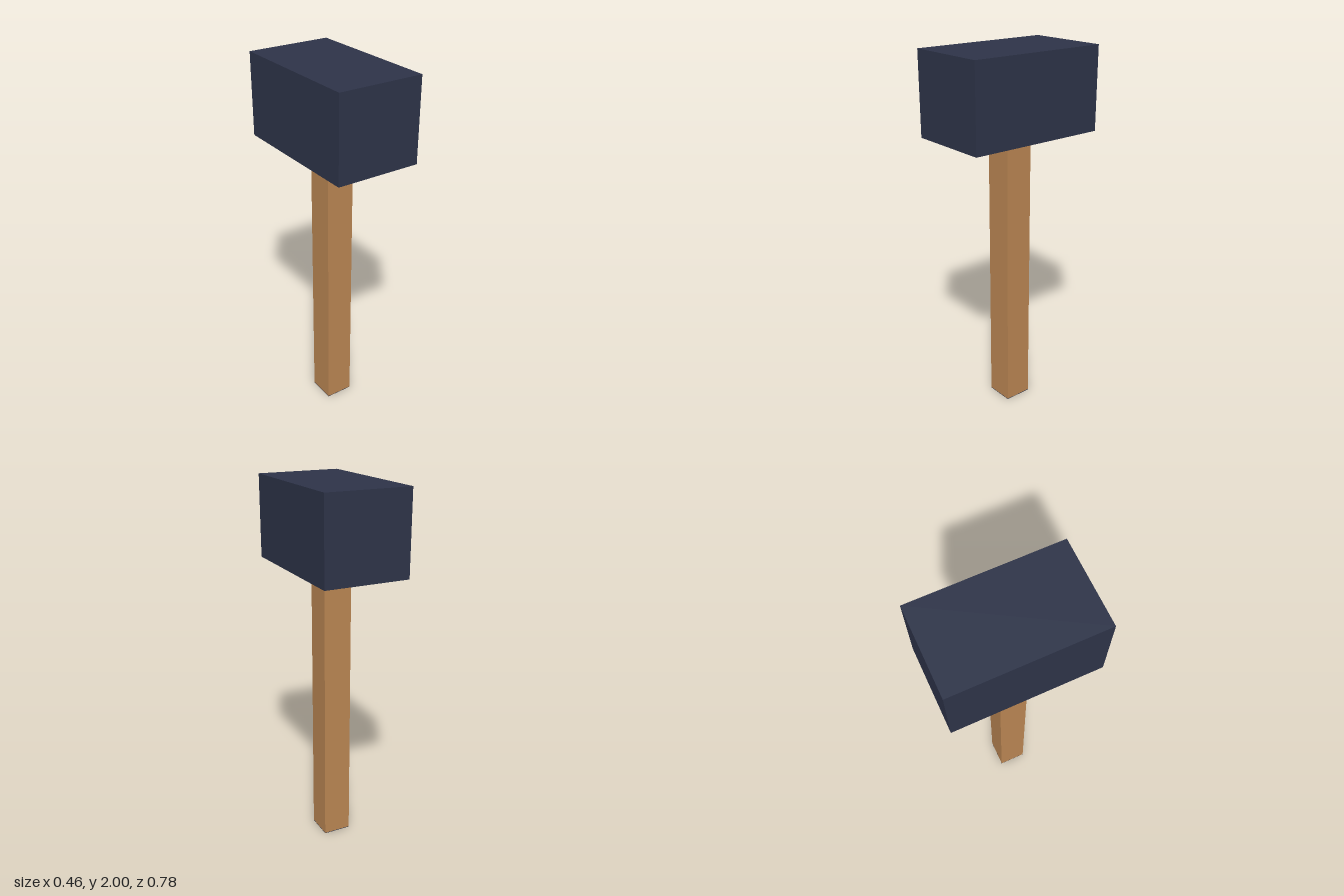
import * as THREE from 'three';

const HEAD_BOTTOM = 1.555;
const CAP = 0.003;

export function createModel() {
  const group = new THREE.Group();
  const wood = new THREE.MeshStandardMaterial({ color: 0xb98552, flatShading: true });
  const iron = new THREE.MeshStandardMaterial({ color: 0x2d3348, flatShading: true });

  // Box given by its footprint and its lower and upper height
  const block = (name, width, depth, y0, y1, material) => {
    const mesh = new THREE.Mesh(new THREE.BoxGeometry(width, y1 - y0, depth), material);
    mesh.name = name;
    mesh.position.y = (y0 + y1) / 2;
    group.add(mesh);
  };

  block('head', 0.462, 0.78, HEAD_BOTTOM, 2, iron);
  block('handle', 0.154, 0.154, CAP, HEAD_BOTTOM, wood);
  // Dark end of the handle
  block('handleEndCap', 0.154, 0.154, 0, CAP, iron);

  return group;
}
